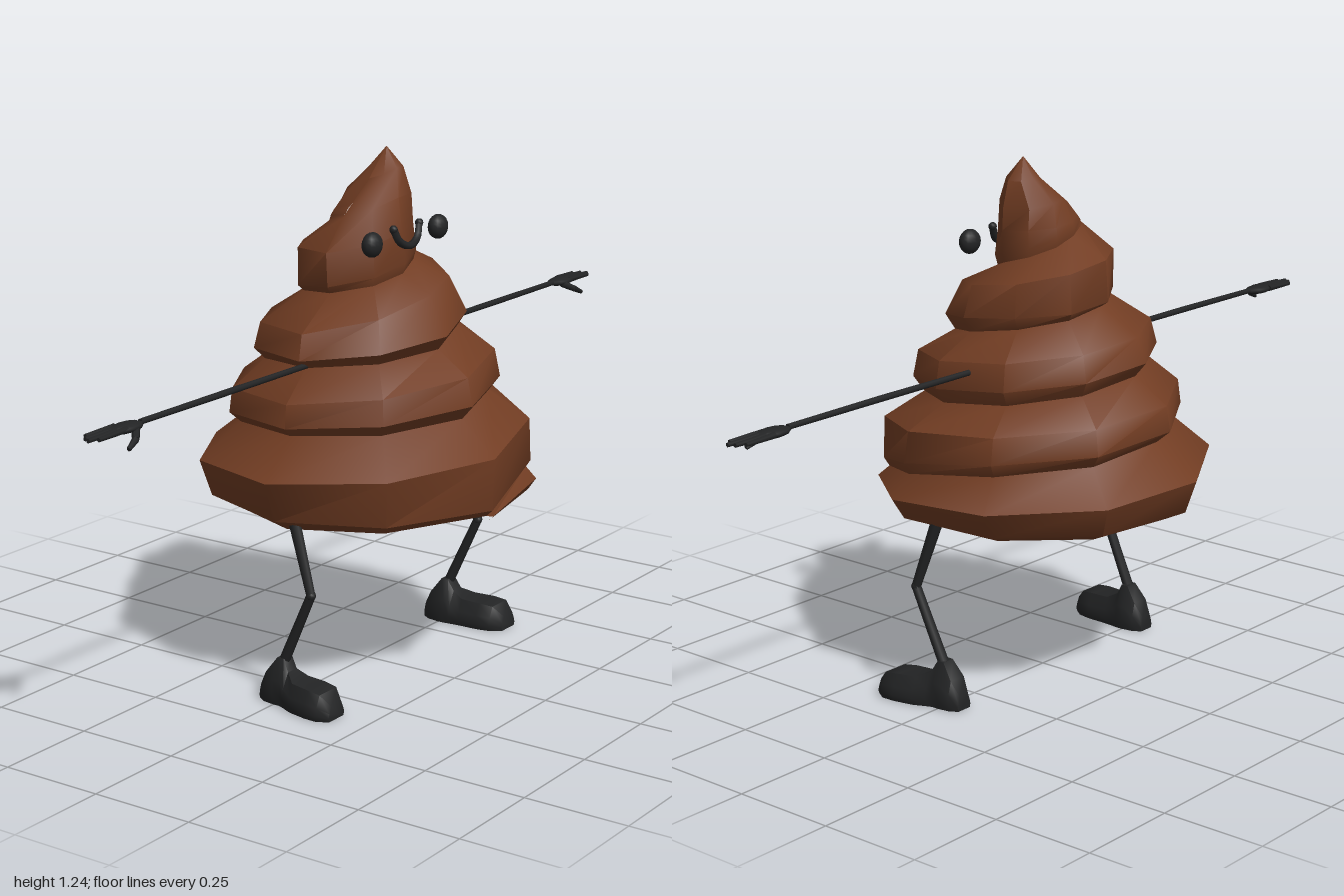
import * as THREE from 'three';
import { toCreasedNormals } from 'three/addons/utils/BufferGeometryUtils.js';

const brown = new THREE.MeshStandardMaterial({ color: 0x723d23 });
brown.name = 'brown';
const black = new THREE.MeshStandardMaterial({ color: 0x232425 });
black.name = 'black';

const V = (x, y, z) => new THREE.Vector3(x, y, z);

function add(parent, name, geometry, material, pos = [0, 0, 0], scale = [1, 1, 1]) {
  const mesh = new THREE.Mesh(geometry, material);
  mesh.name = name;
  mesh.position.set(...pos);
  mesh.scale.set(...scale);
  parent.add(mesh);
  return mesh;
}

// Tapered round bar between two points
function bar(parent, name, a, b, ra, rb, sides = 8) {
  const dir = b.clone().sub(a);
  const mesh = add(parent, name, new THREE.CylinderGeometry(rb, ra, dir.length(), sides), black);
  mesh.position.copy(a).addScaledVector(dir, 0.5);
  mesh.quaternion.setFromUnitVectors(V(0, 1, 0), dir.normalize());
  return mesh;
}

function fromTriangles(tris, crease) {
  const g = new THREE.BufferGeometry().setFromPoints(tris);
  g.computeVertexNormals();
  return toCreasedNormals(g, crease);
}

// Coil profile as [radius, height] per quarter turn, starting one turn below zero
const groove = [
  [.31, .42], [.31, .41], [.31, .415], [.32, .41], [.37, .44], [.345, .56], [.29, .595], [.305, .625],
  [.29, .655], [.25, .70], [.235, .745], [.245, .77], [.215, .805], [.18, .86], [.15, .90], [.15, .925],
  [.105, .965], [.1, 1.01], [.075, 1.055], [.10, 1.09], [.095, 1.14], [.105, 1.125], [.05, 1.145], [.06, 1.12]];
const lower = [
  [.375, .43], [.36, .43], [.365, .44], [.37, .44], [.385, .455], [.355, .59], [.325, .625], [.325, .645],
  [.32, .69], [.268, .735], [.262, .78], [.27, .79], [.24, .84], [.197, .895], [.167, .91], [.16, .94],
  [.112, .99], [.105, 1.03], [.08, 1.075], [.09, 1.098]];
const bulge = [
  [.385, .44], [.395, .49], [.39, .515], [.40, .535], [.387, .58], [.34, .65], [.315, .685], [.32, .70],
  [.305, .755], [.26, .80], [.24, .84], [.26, .85], [.185, .93], [.185, .965], [.16, 1.01], [.165, 1.02],
  [.10, 1.06], [.107, 1.08], [.075, 1.09], [.08, 1.108]];

// Point on a coil line at step i, nine steps to a turn
function coilPoint(keys, i) {
  const turn = -1.025 + i / 9;
  const f = Math.min(Math.max((turn + 1) * 4, 0), keys.length - 1);
  const k = Math.min(Math.floor(f), keys.length - 2);
  const r = THREE.MathUtils.lerp(keys[k][0], keys[k + 1][0], f - k) * 1.025;
  const y = THREE.MathUtils.lerp(keys[k][1], keys[k + 1][1], f - k);
  const a = turn * Math.PI * 2;
  return V(r * Math.cos(a), y, -r * Math.sin(a));
}

function swirlGeometry() {
  const tris = [];
  const quad = (a, b, c, d) => tris.push(a, b, c, a, c, d);
  const last = 43;
  const column = i => [coilPoint(groove, i), coilPoint(lower, i), coilPoint(bulge, i), coilPoint(groove, i + 9)];
  // Winding strip
  for (let i = 0; i < last; i++) {
    const p = column(i), q = column(i + 1);
    for (let j = 0; j < 3; j++) quad(p[j], q[j], q[j + 1], p[j + 1]);
  }
  // Underside
  const base = V(0, .415, 0);
  for (let i = 0; i < 9; i++) tris.push(base, coilPoint(groove, i + 1), coilPoint(groove, i));
  tris.push(base, coilPoint(groove, 0), coilPoint(groove, 9));
  // Curled tip
  const tip = V(.025, 1.24, -.04);
  const mid = p => p.clone().lerp(tip, .5).add(V(0, .005, -.018));
  for (let i = last; i < last + 9; i++) {
    const a = coilPoint(groove, i), b = coilPoint(groove, i + 1);
    quad(a, b, mid(b), mid(a));
    tris.push(mid(a), mid(b), tip);
  }
  const s = coilPoint(groove, last), e = coilPoint(groove, last + 9);
  quad(e, s, mid(s), mid(e));
  return fromTriangles(tris, .85);
}

// Shoe lofted along x from [x, side shift, half width, height]
function shoeGeometry(side) {
  const sections = [
    [-.05, -.012, .022, .035], [-.03, -.012, .035, .07], [-.002, -.012, .04, .108], [.016, -.012, .04, .108],
    [.032, -.008, .042, .08], [.06, 0, .048, .066], [.11, .006, .053, .064], [.145, .01, .05, .06], [.17, .012, .03, .035]];
  const rings = sections.map(([x, c, w, h]) => {
    const top = h > .075 ? .4 : .65;
    return [[-.9, 0], [-1, .25], [-.9, .55], [-top, 1], [top, 1], [.9, .55], [1, .25], [.9, 0]]
      .map(([u, v]) => V(x, v * h, side * c + u * w));
  });
  const tris = [], n = 8;
  for (let i = 0; i < rings.length - 1; i++) {
    for (let j = 0; j < n; j++) {
      const k = (j + 1) % n, a = rings[i], b = rings[i + 1];
      tris.push(a[j], b[k], b[j], a[j], a[k], b[k]);
    }
  }
  const end = rings.length - 1;
  for (let j = 1; j < n - 1; j++) {
    tris.push(rings[0][0], rings[0][j + 1], rings[0][j]);
    tris.push(rings[end][0], rings[end][j], rings[end][j + 1]);
  }
  // Keep faces outward whichever way the ring was walked
  const a = tris[0], normal = tris[1].clone().sub(a).cross(tris[2].clone().sub(a));
  const centre = V(-.04, .025, side * -.012);
  if (normal.dot(a.clone().sub(centre)) < 0) {
    for (let i = 0; i < tris.length; i += 3) [tris[i + 1], tris[i + 2]] = [tris[i + 2], tris[i + 1]];
  }
  return fromTriangles(tris, .9);
}

function addArm(parent, s) {
  const arm = new THREE.Group();
  arm.name = s > 0 ? 'rightArm' : 'leftArm';
  parent.add(arm);
  bar(arm, 'upperArm', V(.005, .776, s * .18), V(.005, .776, s * .55), .007, .008);
  bar(arm, 'forearm', V(.005, .776, s * .55), V(.003, .775, s * .83), .008, .007);
  // Hand
  add(arm, 'palm', new THREE.SphereGeometry(1, 10, 8), black, [.002, .773, s * .875], [.026, .011, .05]);
  const tips = [[-.022, .975], [-.008, .992], [.007, 1], [.02, .982]];
  tips.forEach(([x, z], i) => bar(arm, 'finger' + (i + 1), V(x * .8, .774, s * .89), V(x, .773, s * z), .008, .005, 6));
  bar(arm, 'thumb', V(.015, .77, s * .86), V(.036, .755, s * .885), .010, .008, 6);
  bar(arm, 'thumbTip', V(.036, .755, s * .885), V(.042, .741, s * .915), .008, .005, 6);
}

function addLeg(parent, s) {
  const leg = new THREE.Group();
  leg.name = s > 0 ? 'rightLeg' : 'leftLeg';
  parent.add(leg);
  const knee = V(.088, .272, s * .35);
  bar(leg, 'thigh', V(.025, .46, s * .335), knee, .015, .011);
  bar(leg, 'shin', knee, V(.004, .09, s * .345), .011, .013);
  add(leg, 'knee', new THREE.SphereGeometry(.012, 8, 6), black, knee.toArray());
  add(leg, 'shoe', shoeGeometry(s), black, [0, 0, s * .355]);
}

export function createModel() {
  const model = new THREE.Group();
  model.name = 'swirlCharacter';
  add(model, 'swirlBody', swirlGeometry(), brown);

  // Face looks along +x
  for (const s of [1, -1]) {
    add(model, s > 0 ? 'rightEye' : 'leftEye', new THREE.SphereGeometry(1, 14, 10), black,
      [.106, 1.046, s * .134], [.022, .029, .029]);
    add(model, 'smileEnd', new THREE.SphereGeometry(.010, 8, 6), black, [.108, 1.068, s * .052]);
    addArm(model, s);
    addLeg(model, s);
  }
  const smile = new THREE.CatmullRomCurve3([
    V(.108, 1.068, .052), V(.114, 1.038, .036), V(.118, 1.024, 0), V(.114, 1.038, -.036), V(.108, 1.068, -.052)]);
  add(model, 'smile', new THREE.TubeGeometry(smile, 16, .009, 6), black);
  return model;
}
